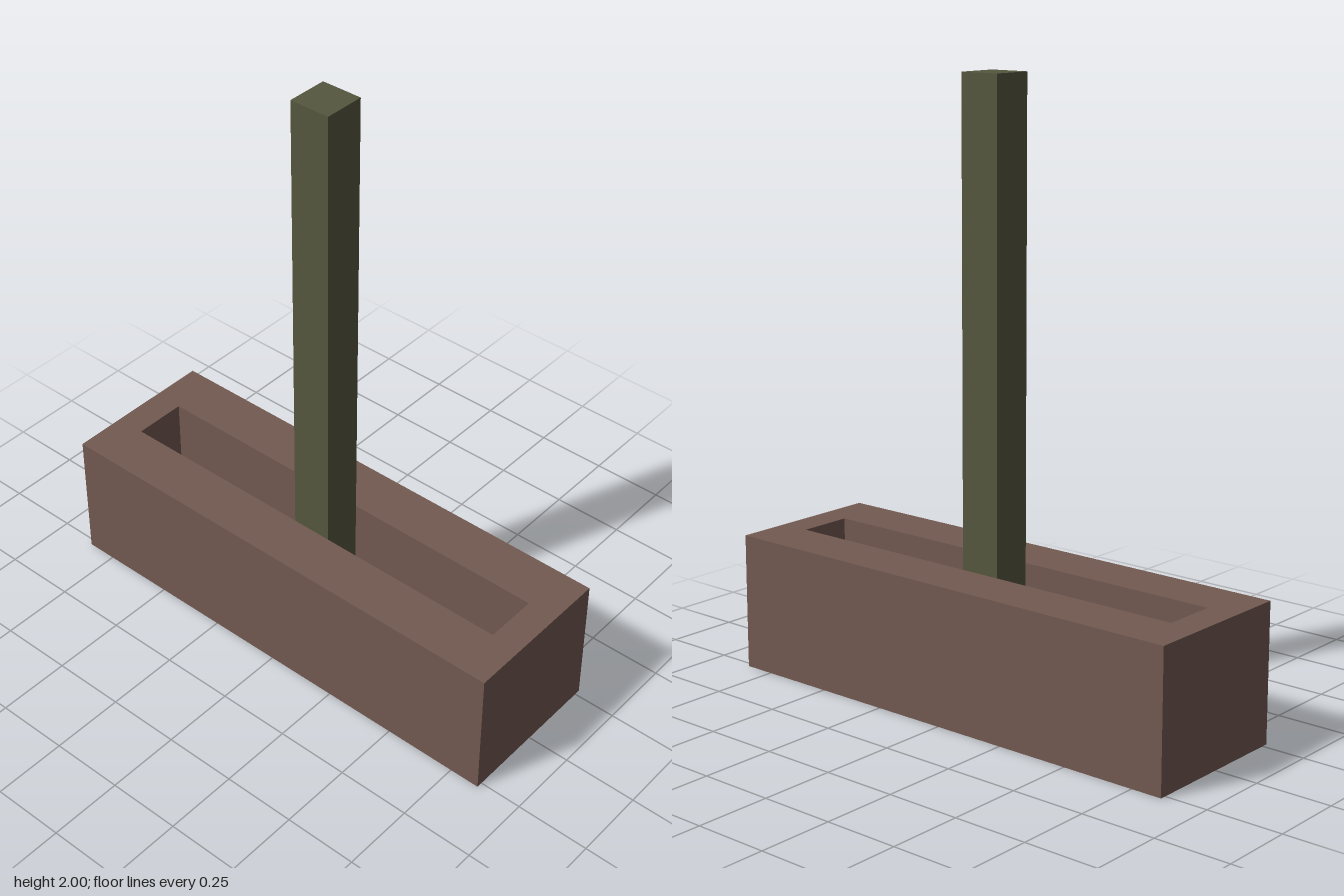
import * as THREE from 'three';

// Rectangle outline centred on the origin, used for the block and its slot
function rectangle(PathType, halfX, halfY) {
  const path = new PathType();
  path.moveTo(-halfX, -halfY);
  path.lineTo(halfX, -halfY);
  path.lineTo(halfX, halfY);
  path.lineTo(-halfX, halfY);
  path.closePath();
  return path;
}

export function createModel() {
  const model = new THREE.Group();
  const brown = new THREE.MeshStandardMaterial({ color: 0x735a51 });
  brown.name = 'brown';
  const olive = new THREE.MeshStandardMaterial({ color: 0x56573f });
  olive.name = 'olive';

  const add = (name, geometry, material, y) => {
    const mesh = new THREE.Mesh(geometry, material);
    mesh.name = name;
    mesh.position.y = y;
    model.add(mesh);
  };

  const halfWidth = 0.27, halfLength = 0.855, height = 0.456, floor = 0.1;
  const slotHalfWidth = 0.092, slotHalfLength = 0.752;

  // Block walls around the long slot
  const outline = rectangle(THREE.Shape, halfWidth, halfLength);
  outline.holes.push(rectangle(THREE.Path, slotHalfWidth, slotHalfLength));
  const walls = new THREE.ExtrudeGeometry(outline, { depth: height, bevelEnabled: false });
  walls.rotateX(-Math.PI / 2);
  add('baseBlock', walls, brown, 0);

  // Plug that closes the bottom of the slot
  add('slotFloor', new THREE.BoxGeometry(slotHalfWidth * 2, floor, slotHalfLength * 2), brown, floor / 2);

  // Square post standing in the slot
  const postHeight = 2 - floor;
  add('post', new THREE.BoxGeometry(0.14, postHeight, 0.14), olive, floor + postHeight / 2);

  return model;
}
